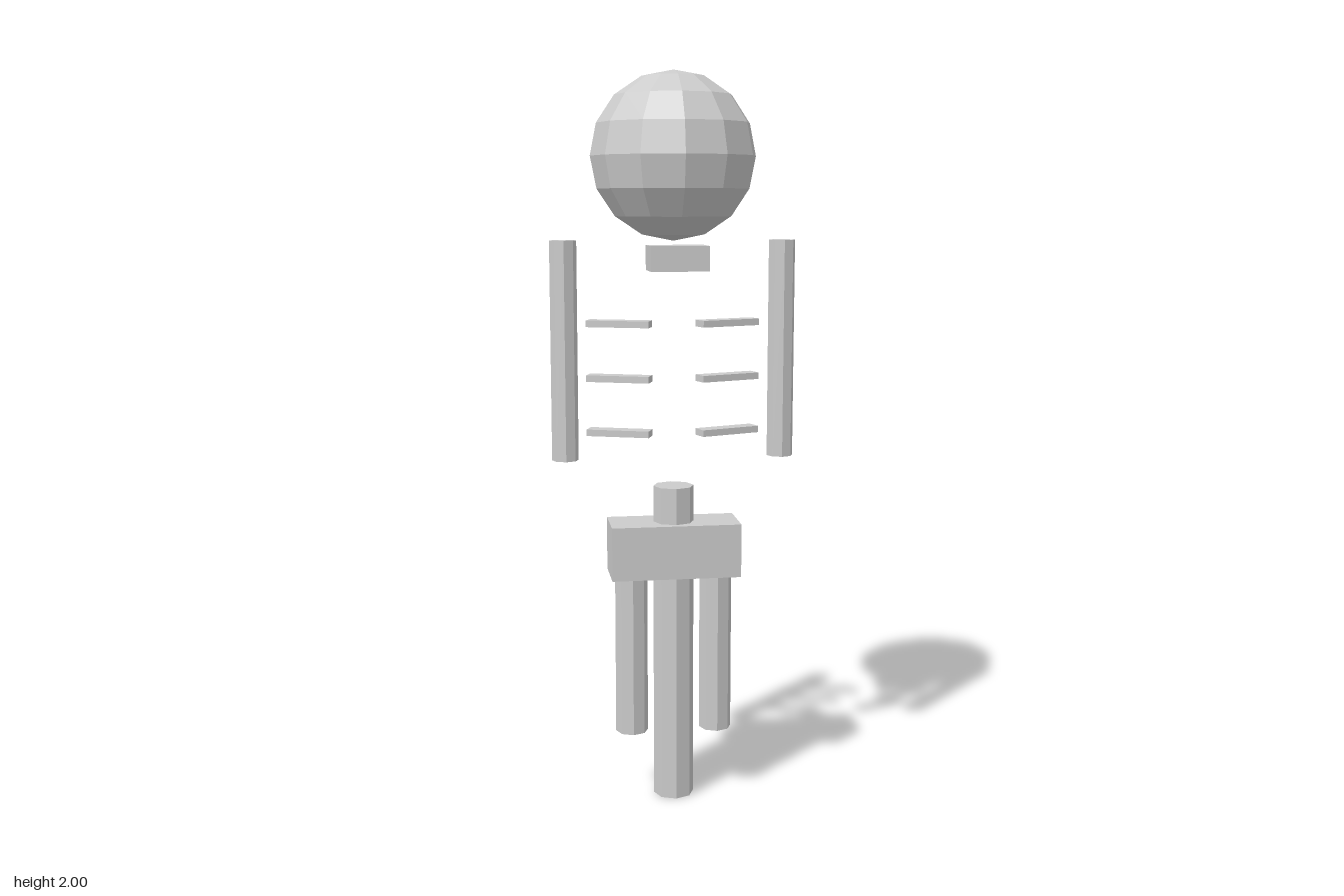
import * as THREE from 'three';

export function createModel() {
  const group = new THREE.Group();
  const material = new THREE.MeshStandardMaterial({ color: 0xcccccc, flatShading: true });

  function add(name, geometry, x, y, z = 0, turn = 0) {
    const mesh = new THREE.Mesh(geometry, material);
    mesh.name = name;
    mesh.position.set(x, y, z);
    mesh.rotation.y = turn;
    group.add(mesh);
  }
  // Eight-sided bone between two heights
  function bone(name, radius, bottom, top, x) {
    const geometry = new THREE.CylinderGeometry(radius, radius, top - bottom, 8);
    add(name, geometry, x, (top + bottom) / 2);
  }

  // Head and jaw
  add('skull', new THREE.SphereGeometry(0.222, 12, 8), 0, 1.778);
  add('jaw', new THREE.BoxGeometry(0.155, 0.066, 0.11), 0, 1.513, 0.077);

  // Spine and pelvis
  bone('spine', 0.056, 0, 0.89, 0);
  add('pelvis', new THREE.BoxGeometry(0.355, 0.148, 0.146), 0, 0.716);

  // Paired limbs and ribs
  for (const [side, s] of [['left', 1], ['right', -1]]) {
    bone(side + 'Arm', 0.036, 0.968, 1.558, s * 0.296);
    bone(side + 'Leg', 0.045, 0.19, 0.72, s * 0.118);
    [1.04, 1.188, 1.336].forEach((y, i) => {
      add(side + 'Rib' + (i + 1), new THREE.BoxGeometry(0.173, 0.018, 0.045), s * 0.148, y, 0, s * 0.35);
    });
  }
  return group;
}
